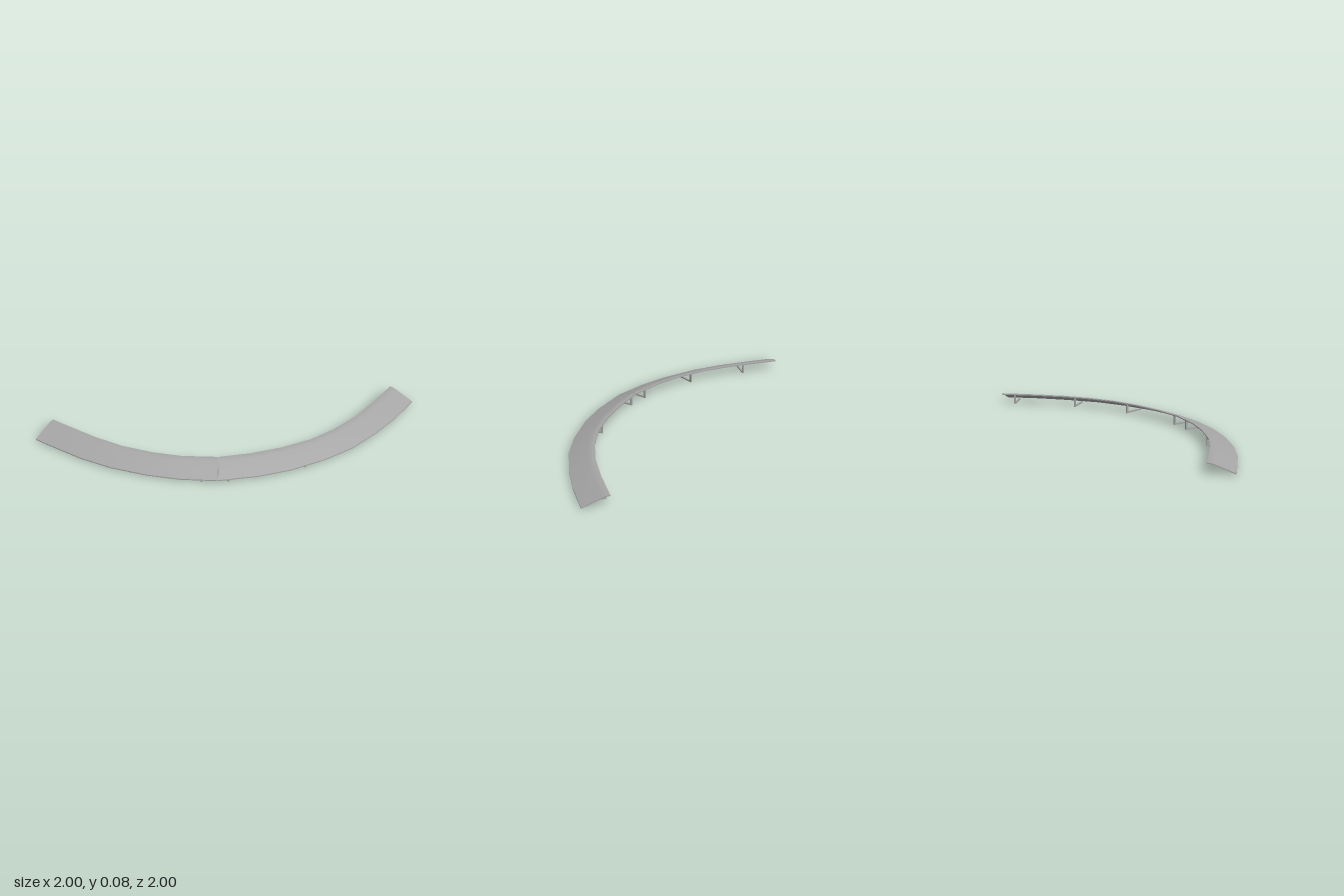
import * as THREE from 'three';
import { toCreasedNormals } from 'three/addons/utils/BufferGeometryUtils.js';

const steel = new THREE.MeshStandardMaterial({ color: 0xa6a6a6 });
steel.name = 'grey steel';

// Plan of the banked curve: [inner x, inner z, outer x, outer z]
const stations = [
  [0.805, -1, 1, -1], [0.805, -0.73, 1, -0.73], [0.79, -0.49, 0.976, -0.48],
  [0.745, -0.26, 0.928, -0.22], [0.675, -0.06, 0.845, 0], [0.56, 0.14, 0.71, 0.25],
  [0.415, 0.33, 0.565, 0.44], [0.26, 0.49, 0.36, 0.645], [0.04, 0.63, 0.14, 0.78],
  [-0.15, 0.71, -0.08, 0.875], [-0.38, 0.775, -0.34, 0.952], [-0.6, 0.8, -0.58, 0.988],
  [-0.8, 0.805, -0.8, 0.996], [-1, 0.808, -1, 1],
];
const seam = 7;

// Bank section: [fraction from inner to outer edge, height of top face]
const bank = [[0, 0.081], [0.08, 0.081], [0.16, 0.079], [0.26, 0.073], [0.6, 0.047], [1, 0.017]];
const thickness = 0.008;
const section = [
  ...bank,
  ...bank.map(([t, y]) => [t, y - thickness]).reverse(),
];

// Curved sheet lofted through a run of stations
function makePanel(name, rows) {
  const n = section.length;
  const positions = [];
  const index = [];
  for (const [ix, iz, ox, oz] of rows) {
    for (const [t, y] of section) positions.push(ix + (ox - ix) * t, y, iz + (oz - iz) * t);
  }
  for (let i = 0; i < rows.length - 1; i++) {
    for (let j = 0; j < n; j++) {
      const a = i * n + j, b = i * n + (j + 1) % n;
      index.push(a, a + n, b, b, a + n, b + n);
    }
  }
  // End caps
  const last = (rows.length - 1) * n;
  for (let j = 0; j < bank.length - 1; j++) {
    const a = j, b = j + 1, c = n - 2 - j, d = n - 1 - j;
    index.push(a, b, c, a, c, d);
    index.push(last + a, last + c, last + b, last + a, last + d, last + c);
  }
  const geometry = new THREE.BufferGeometry();
  geometry.setAttribute('position', new THREE.Float32BufferAttribute(positions, 3));
  geometry.setIndex(index);
  const mesh = new THREE.Mesh(toCreasedNormals(geometry, 0.6), steel);
  mesh.name = name;
  return mesh;
}

// Bracket: foot bar on the ground with a post under the high inner edge
function makeBracket([ix, iz, ox, oz]) {
  const bar = 0.014;
  const length = Math.hypot(ox - ix, oz - iz);
  const group = new THREE.Group();
  group.name = 'supportBracket';
  const foot = new THREE.Mesh(new THREE.BoxGeometry(length, 0.012, bar), steel);
  foot.name = 'footBar';
  foot.position.set(length / 2, 0.006, 0);
  const post = new THREE.Mesh(new THREE.BoxGeometry(bar, 0.064, bar), steel);
  post.name = 'post';
  post.position.set(bar / 2, 0.043, 0);
  group.add(foot, post);
  group.position.set(ix, 0, iz);
  group.rotation.y = -Math.atan2(oz - iz, ox - ix);
  return group;
}

export function createModel() {
  const model = new THREE.Group();
  model.name = 'bankedCurve';

  // Two panels with a narrow joint between them
  const mix = (a, b, k) => a.map((v, i) => v + (b[i] - v) * k);
  const before = mix(stations[seam], stations[seam - 1], 0.01);
  const after = mix(stations[seam], stations[seam + 1], 0.01);
  model.add(makePanel('rearPanel', [...stations.slice(0, seam), before]));
  model.add(makePanel('frontPanel', [after, ...stations.slice(seam + 1)]));

  // Brackets, from inner edge to outer edge
  const brackets = [
    [0.81, -0.895, 0.985, -0.895], [0.775, -0.39, 0.945, -0.36], [0.62, 0.055, 0.765, 0.15],
    [0.3, 0.465, 0.415, 0.595], [0.165, 0.565, 0.265, 0.705], [-0.265, 0.755, -0.2, 0.905],
    [-0.723, 0.812, -0.723, 0.982],
  ];
  for (const b of brackets) model.add(makeBracket(b));
  return model;
}
